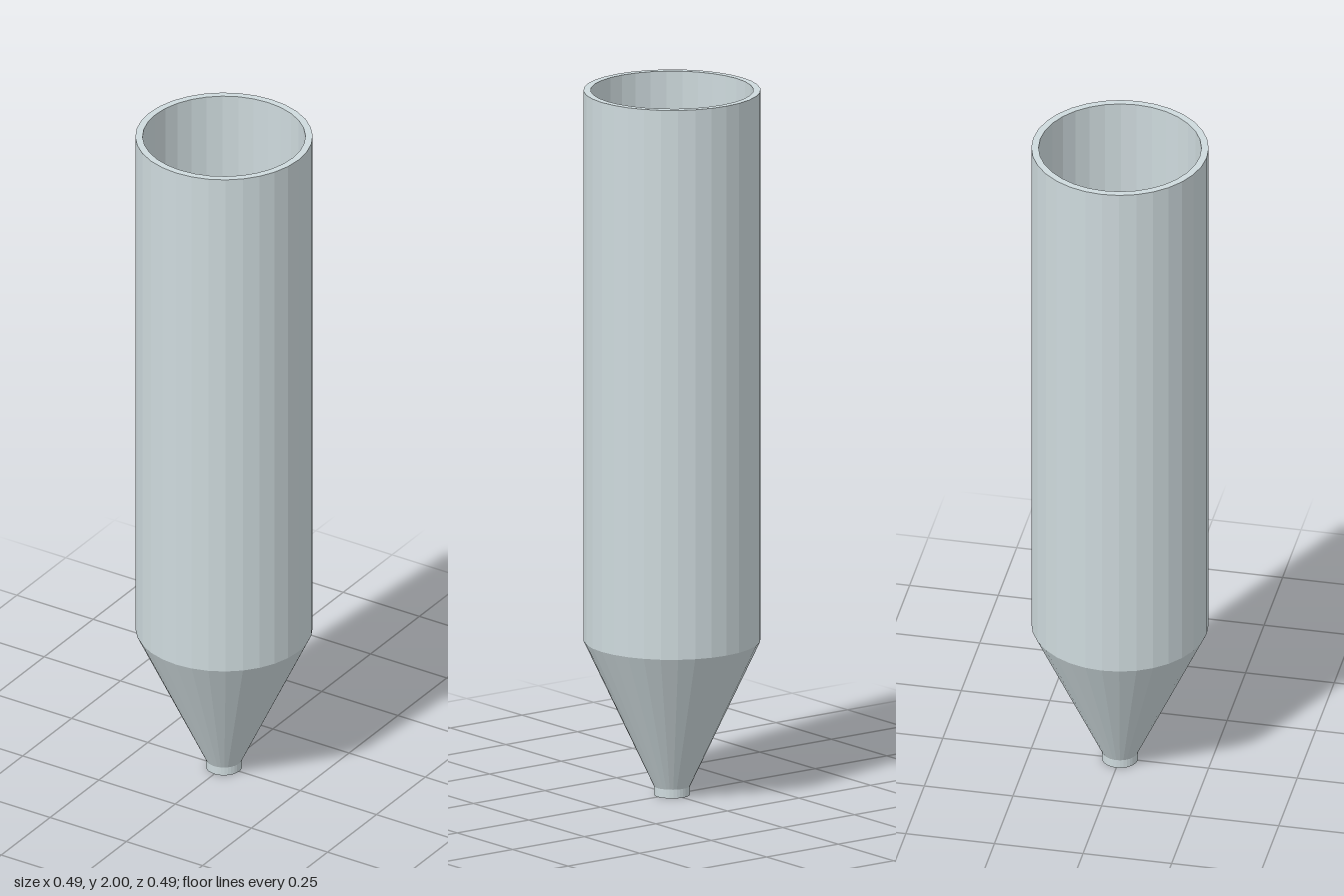
import * as THREE from 'three';

const SIDES = 32;

// Faceted solid of revolution; the profile is listed as [radius, height]
function turned(name, profile, material) {
  const points = profile.map(([r, y]) => new THREE.Vector2(r, y));
  const geometry = new THREE.LatheGeometry(points, SIDES).toNonIndexed();
  geometry.computeVertexNormals();
  const mesh = new THREE.Mesh(geometry, material);
  mesh.name = name;
  return mesh;
}

export function createModel() {
  const plastic = new THREE.MeshStandardMaterial({ color: 0xcedadd });
  plastic.name = 'pale grey plastic';
  const red = new THREE.MeshStandardMaterial({ color: 0xd64357 });
  red.name = 'red liquid';

  const model = new THREE.Group();
  model.name = 'conicalTube';

  // Hollow tube: flat tip, cone, straight wall, rim, then down the inside
  model.add(turned('tubeBody', [
    [0, 0], [0.05, 0], [0.05, 0.025], [0.245, 0.44], [0.245, 2],
    [0.225, 2], [0.225, 0.445], [0.035, 0.04], [0, 0.04],
  ], plastic));

  // Liquid filling the lower part of the tube
  model.add(turned('liquid', [
    [0, 0.045], [0.033, 0.045], [0.224, 0.45], [0.224, 1.1], [0, 1.1],
  ], red));

  return model;
}
